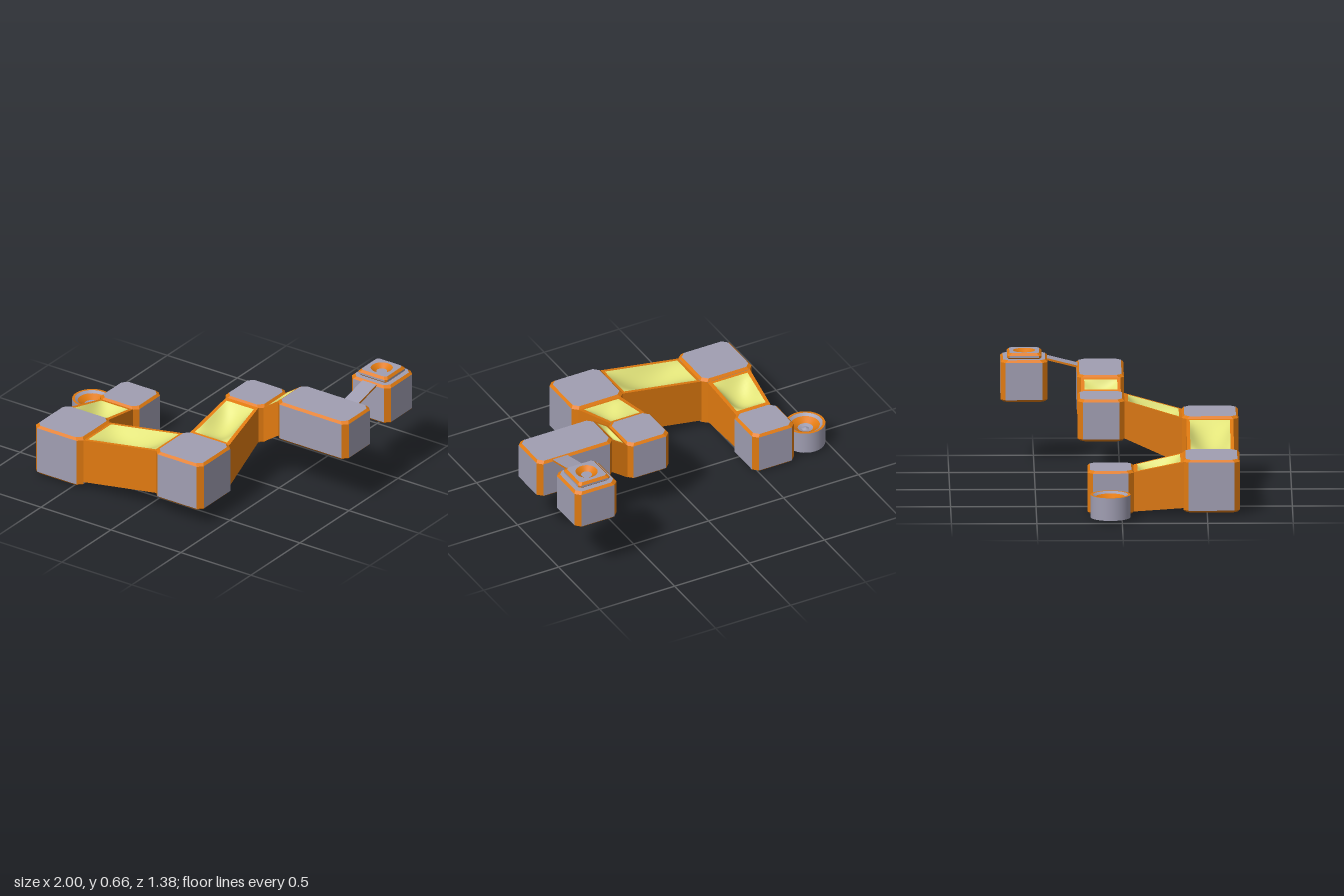
import * as THREE from 'three';

const mat = (name, color) => new THREE.MeshStandardMaterial({ name, color, side: THREE.DoubleSide });

// Flat-shaded mesh from a list of quads (four corner arrays each)
function quadMesh(name, quads, material) {
  const pos = quads.flatMap(([a, b, c, d]) => [a, b, c, a, c, d].flat());
  const g = new THREE.BufferGeometry();
  g.setAttribute('position', new THREE.Float32BufferAttribute(pos, 3));
  g.computeVertexNormals();
  const m = new THREE.Mesh(g, material);
  m.name = name;
  return m;
}

export function createModel() {
  const grey = mat('grey panel', 0xa09eb2);
  const orange = mat('orange trim', 0xe07a10);
  const yellow = mat('yellow lining', 0xe2e47a);
  const root = new THREE.Group();

  // Block with grey panels and orange bevels; c = upright corner cut, e = top and bottom bevel
  function block(name, [x0, x1], [y0, y1], [z0, z1], c = 0.03, e = 0.014, capTop = true) {
    const ring = (y, i) => {
      const a = x0 + i, b = x1 - i, n = z0 + i, f = z1 - i;
      return [[b - c, y, f], [b, y, f - c], [b, y, n + c], [b - c, y, n],
        [a + c, y, n], [a, y, n + c], [a, y, f - c], [a + c, y, f]];
    };
    const rings = [ring(y0, e), ring(y0 + e, 0), ring(y1 - e, 0), ring(y1, e)];
    const panels = [], trim = [];
    for (let r = 0; r < 3; r++) {
      for (let k = 0; k < 8; k++) {
        const j = (k + 1) % 8;
        const q = [rings[r][k], rings[r][j], rings[r + 1][j], rings[r + 1][k]];
        (r === 1 && k % 2 === 1 ? panels : trim).push(q);
      }
    }
    const cap = (p) => [[p[0], p[1], p[2], p[3]], [p[0], p[3], p[4], p[7]], [p[4], p[5], p[6], p[7]]];
    panels.push(...cap([...rings[0]].reverse()));
    if (capTop) panels.push(...cap(rings[3]));
    const g = new THREE.Group();
    g.name = name;
    g.add(quadMesh(name + 'Panels', panels, grey), quadMesh(name + 'Trim', trim, orange));
    root.add(g);
    return g;
  }

  block('startBlock', [-0.75, -0.47], [0, 0.26], [-0.2, 0.07]);
  block('firstCorner', [-0.775, -0.435], [0.015, 0.33], [0.36, 0.69]);
  block('secondCorner', [0.085, 0.425], [0.11, 0.415], [0.36, 0.69]);
  block('thirdCorner', [0.115, 0.395], [0.26, 0.51], [-0.25, 0.025]);
  block('longBlock', [0.49, 0.995], [0.33, 0.58], [-0.25, 0.025]);
  block('endBlock', [0.705, 0.985], [0.375, 0.625], [-0.695, -0.42]);

  // Tapered trough; each end is [position, side low, side high, bottom, top]
  function trough(name, axis, s, t, endRim = 0.022, depth = 0.07) {
    const point = (u, v, h, drop = 0) => {
      const [p, lo, hi, bot, top] = s.map((n, i) => n + (t[i] - n) * u);
      const w = lo + (hi - lo) * v, y = bot + (top - bot) * h - drop;
      return axis === 'x' ? [p, y, w] : [w, y, p];
    };
    const eu = endRim / Math.abs(t[0] - s[0]), ev = 0.02 / (s[2] - s[1]);
    const strip = (pts) => pts.map(([u, v, h]) => point(u, v, h));
    const shell = [
      strip([[0, 0, 0], [1, 0, 0], [1, 0, 1], [0, 0, 1]]),
      strip([[0, 1, 0], [0, 1, 1], [1, 1, 1], [1, 1, 0]]),
      strip([[0, 0, 0], [0, 1, 0], [1, 1, 0], [1, 0, 0]]),
    ];
    const o = [[0, 0], [1, 0], [1, 1], [0, 1]];
    const n = [[eu, ev], [1 - eu, ev], [1 - eu, 1 - ev], [eu, 1 - ev]];
    for (let k = 0; k < 4; k++) {
      const j = (k + 1) % 4;
      shell.push(strip([[...o[k], 1], [...o[j], 1], [...n[j], 1], [...n[k], 1]]));
    }
    // Smooth sunken lining
    const N = 14;
    const lining = new THREE.PlaneGeometry(1, 1, N, N);
    const p = lining.attributes.position;
    for (let i = 0; i < p.count; i++) {
      const a = p.getX(i) * 2, b = p.getY(i) * 2;
      const u = 0.5 + a * (0.5 - eu), v = 0.5 + b * (0.5 - ev);
      p.setXYZ(i, ...point(u, v, 1, depth * (1 - a * a) * (1 - b * b)));
    }
    lining.computeVertexNormals();
    const m = new THREE.Mesh(lining, yellow);
    m.name = name + 'Lining';
    const g = new THREE.Group();
    g.name = name;
    g.add(quadMesh(name + 'Shell', shell, orange), m);
    root.add(g);
  }

  trough('firstTrough', 'z', [0.07, -0.725, -0.495, 0.015, 0.25], [0.365, -0.748, -0.465, 0.04, 0.315]);
  trough('secondTrough', 'x', [-0.438, 0.385, 0.66, 0.04, 0.315], [0.09, 0.385, 0.66, 0.125, 0.402]);
  trough('thirdTrough', 'z', [0.024, 0.14, 0.37, 0.275, 0.5], [0.365, 0.113, 0.395, 0.125, 0.4]);
  trough('fourthTrough', 'x', [0.393, -0.228, 0.005, 0.275, 0.5], [0.495, -0.228, 0.005, 0.345, 0.57], 0.018, 0.03);

  // Thin ramp from the long block to the end block
  const ramp = new THREE.Mesh(new THREE.BoxGeometry(0.1, 0.012, 0.185),
    [orange, orange, grey, grey, orange, orange]);
  ramp.name = 'ramp';
  ramp.position.set(0.85, 0.592, -0.334);
  ramp.rotation.x = Math.atan2(0.045, 0.18);
  root.add(ramp);

  // Round surfaces of revolution, one colour per band
  function bands(name, x, y, z, list) {
    const g = new THREE.Group();
    g.name = name;
    list.forEach(([r0, h0, r1, h1, material], i) => {
      const m = new THREE.Mesh(
        new THREE.LatheGeometry([new THREE.Vector2(r0, h0), new THREE.Vector2(r1, h1)], 32), material);
      m.name = name + 'Band' + (i + 1);
      g.add(m);
    });
    g.position.set(x, y, z);
    root.add(g);
  }

  // Raised plate with a round hollow
  block('topPlate', [0.74, 0.948], [0.62, 0.66], [-0.657, -0.455], 0.014, 0.014, false);
  const w = 0.09, d = 0.087, c = 0.014;
  const top = new THREE.Shape([[w - c, -d], [w, c - d], [w, d - c], [w - c, d],
    [c - w, d], [-w, d - c], [-w, c - d], [c - w, -d]].map(([a, b]) => new THREE.Vector2(a, b)));
  top.holes.push(new THREE.Path().absarc(0, 0, 0.065, 0, Math.PI * 2, true));
  const plateTop = new THREE.Mesh(new THREE.ShapeGeometry(top, 16), grey);
  plateTop.name = 'plateTop';
  plateTop.rotation.x = -Math.PI / 2;
  plateTop.position.set(0.844, 0.66, -0.556);
  root.add(plateTop);
  bands('plateHollow', 0.844, 0.66, -0.556, [
    [0.065, 0, 0.032, -0.022, orange],
    [0.032, -0.022, 0, -0.022, grey],
  ]);

  // Open-bottomed cup with a shallow dished top
  bands('cup', -0.883, 0, -0.068, [
    [0.117, 0.015, 0.117, 0.15, grey],
    [0.117, 0.15, 0.102, 0.15, orange],
    [0.102, 0.15, 0.085, 0.138, grey],
    [0.085, 0.138, 0.045, 0.115, orange],
    [0.045, 0.115, 0.022, 0.107, grey],
    [0.022, 0.107, 0, 0.118, grey],
  ]);

  return root;
}
